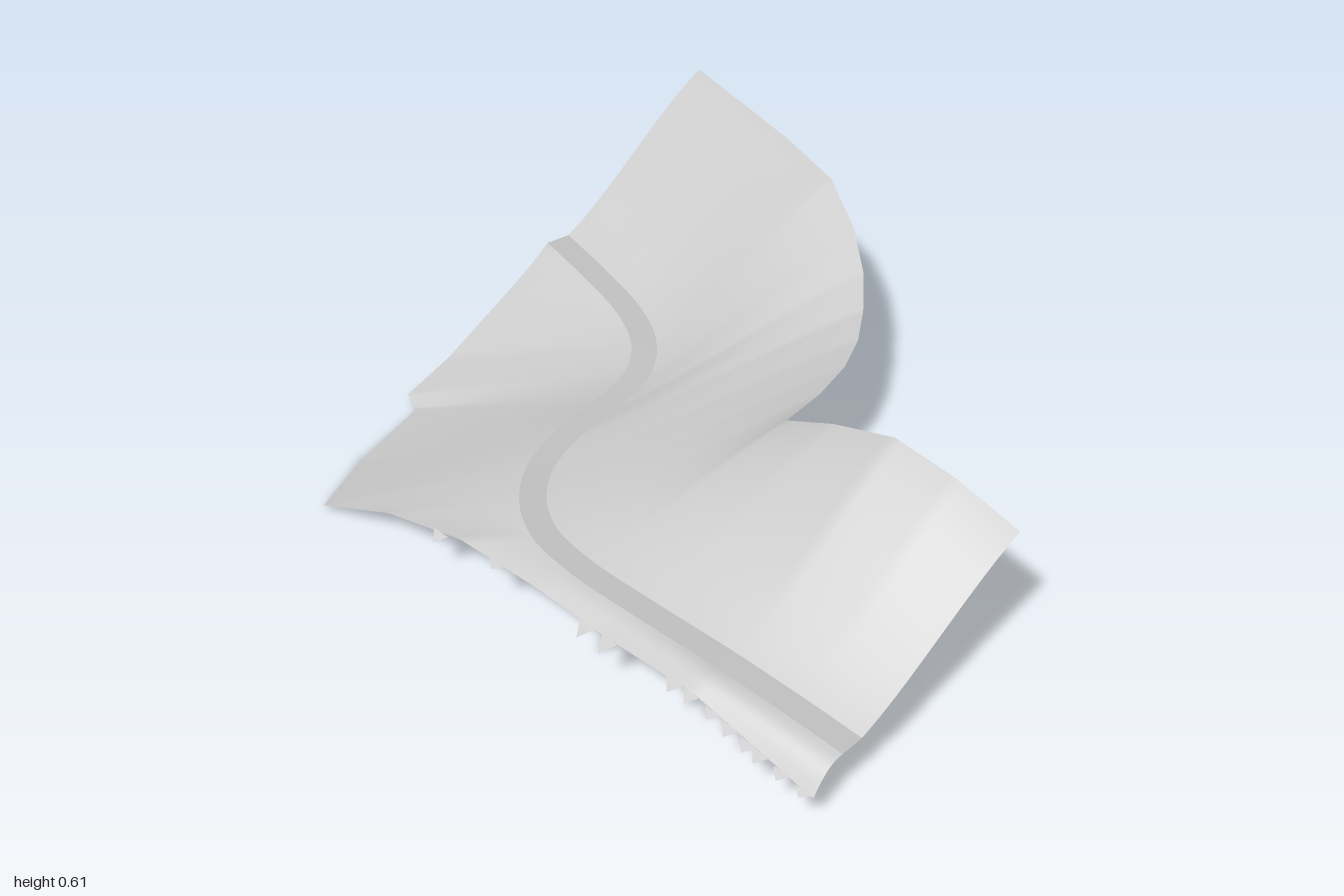
import * as THREE from 'three';

// Stations along the road, each [x, y, z]: road centre, left rim and right rim of the land
const ROAD = [
  [-.66, .18, .995], [-.67, .2, .8], [-.68, .215, .6], [-.69, .22, .3], [-.688, .22, .08],
  [-.66, .22, -.08], [-.59, .22, -.2], [-.48, .22, -.29], [-.33, .225, -.34], [-.15, .23, -.36],
  [-.02, .24, -.39], [.08, .25, -.47], [.15, .26, -.6], [.195, .275, -.78], [.235, .29, -.99],
];
const LEFT = [
  [-.8, .11, 1], [-.8, .15, .8], [-.8, .19, .6], [-.8, .18, .3], [-.8, .19, .05],
  [-.8, .18, -.25], [-.8, .1, -.55], [-.84, .015, -.79], [-.64, 0, -.885], [-.38, .02, -.94],
  [-.36, .03, -1], [-.2, .08, -1], [0, .175, -1], [.12, .235, -1], [.2, .285, -1],
];
const RIGHT = [
  [-.07, .49, 1], [-.075, .545, .8], [-.08, .57, .6], [-.085, .51, .4], [-.09, .44, .24],
  [.06, .435, .22], [.2, .43, .18], [.32, .425, .12], [.43, .43, .04], [.53, .465, -.05],
  [.62, .52, -.17], [.7, .575, -.33], [.755, .59, -.55], [.8, .6, -.78], [.84, .61, -1],
];
const HALF_WIDTH = .036;
const ALONG = 140;

const vectors = (rows) => rows.map((p) => new THREE.Vector3(...p));
const roadCurve = new THREE.CatmullRomCurve3(vectors(ROAD));
const leftRim = vectors(LEFT);
const rightRim = vectors(RIGHT);

// Straight interpolation keeps the corners of the rim sharp
function rimPoint(points, t) {
  const s = t * (points.length - 1);
  const i = Math.min(Math.floor(s), points.length - 2);
  return points[i].clone().lerp(points[i + 1], s - i);
}

// Road edge: side -1 is the left one, +1 the right one
function roadEdge(t, side) {
  const dir = roadCurve.getTangent(t).setY(0).normalize();
  const offset = new THREE.Vector3(-dir.z, 0, dir.x).multiplyScalar(side * HALF_WIDTH);
  return roadCurve.getPoint(t).add(offset);
}

// Surface swept along the stations, u running from left to right
function strip(across, at) {
  const positions = [];
  const index = [];
  for (let i = 0; i <= ALONG; i++) {
    for (let j = 0; j <= across; j++) {
      positions.push(...at(i / ALONG, j / across).toArray());
      if (i === ALONG || j === across) continue;
      const a = i * (across + 1) + j;
      const b = a + across + 1;
      index.push(a, a + 1, b, a + 1, b + 1, b);
    }
  }
  const geometry = new THREE.BufferGeometry();
  geometry.setAttribute('position', new THREE.Float32BufferAttribute(positions, 3));
  geometry.setIndex(index);
  geometry.computeVertexNormals();
  return geometry;
}

// Small torn points on the left rim
function rimTeeth() {
  const positions = [];
  for (const [z, reach] of [[-.33, .03], [-.11, .02], [.23, .04], [.31, .04], [.54, .03], [.6, .03],
    [.67, .025], [.73, .03], [.79, .03], [.83, .03], [.9, .025], [.97, .02]]) {
    let k = 0;
    while (k < LEFT.length - 2 && LEFT[k + 1][2] > z) k++;
    const f = (LEFT[k][2] - z) / (LEFT[k][2] - LEFT[k + 1][2]);
    const y = THREE.MathUtils.lerp(LEFT[k][1], LEFT[k + 1][1], f);
    positions.push(-.8, y, z + .028, -.8, y, z - .028, -.8 - reach, y - reach * .5, z);
  }
  const geometry = new THREE.BufferGeometry();
  geometry.setAttribute('position', new THREE.Float32BufferAttribute(positions, 3));
  geometry.computeVertexNormals();
  return geometry;
}

export function createModel() {
  const land = new THREE.MeshStandardMaterial({ color: 0xcccccc, side: THREE.DoubleSide });
  land.name = 'land grey';
  const asphalt = new THREE.MeshStandardMaterial({ color: 0xc0c0c0, side: THREE.DoubleSide });
  asphalt.name = 'road grey';

  const model = new THREE.Group();
  model.name = 'roadTerrain';
  const add = (name, geometry, material) => {
    const mesh = new THREE.Mesh(geometry, material);
    mesh.name = name;
    model.add(mesh);
  };

  // Bank falling away to the left, with a low shoulder beside the front stretch
  add('leftBank', strip(20, (t, u) => {
    const p = rimPoint(leftRim, t).lerp(roadEdge(t, -1), u);
    p.y += .02 * Math.sin(Math.PI * u) * Math.max(0, 1 - t / .4);
    return p;
  }), land);

  // Hillside climbing to the right, slightly eased at road and rim
  add('rightHillside', strip(30, (t, u) => {
    const edge = roadEdge(t, 1);
    const rim = rimPoint(rightRim, t);
    const p = edge.clone().lerp(rim, u);
    const eased = u + .3 * (u * u * (3 - 2 * u) - u);
    p.y = THREE.MathUtils.lerp(edge.y, rim.y, eased);
    return p;
  }), land);

  // Road ribbon
  add('road', strip(2, (t, u) => roadEdge(t, -1).lerp(roadEdge(t, 1), u)), asphalt);

  add('rimTeeth', rimTeeth(), land);
  return model;
}
